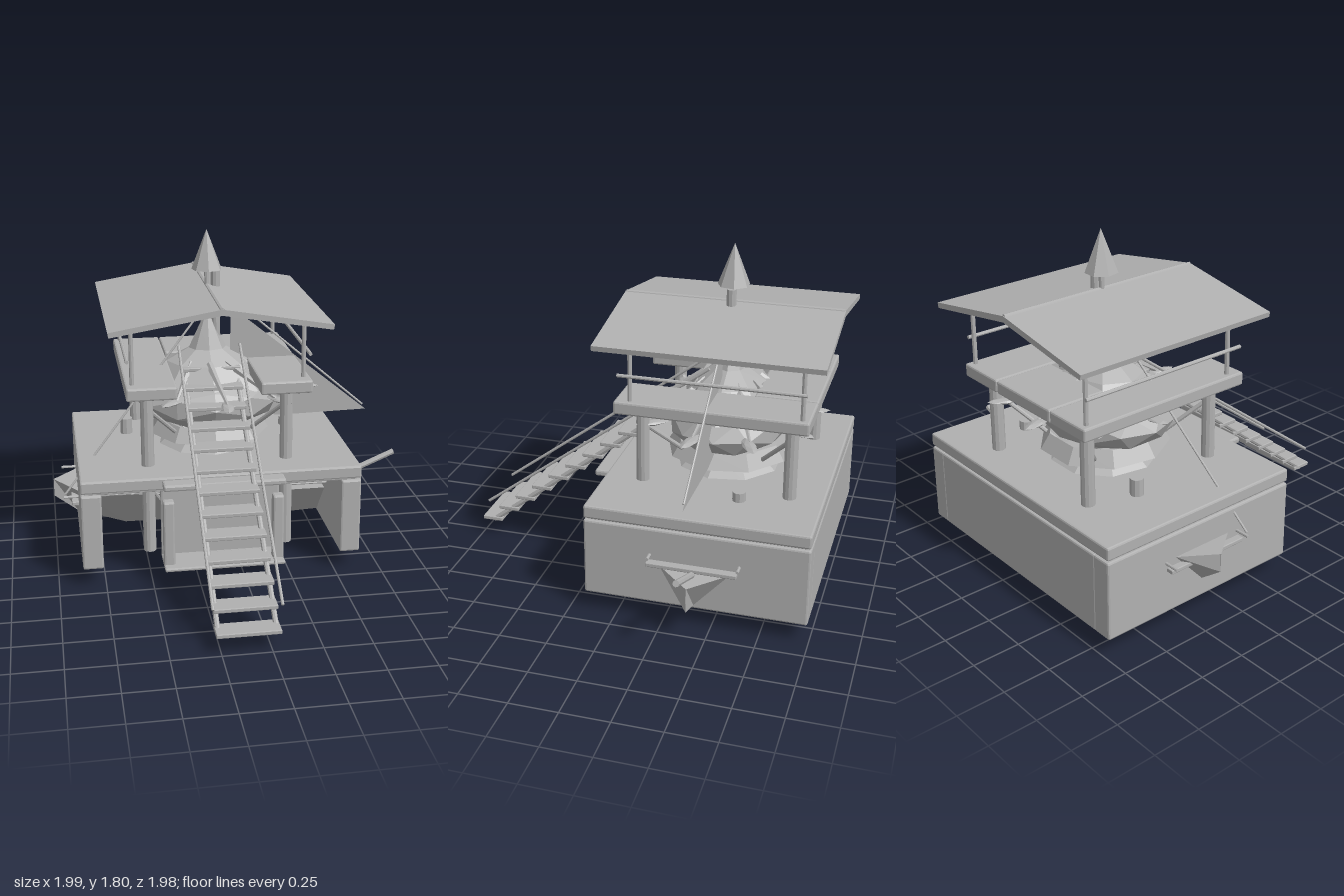
import * as THREE from 'three';
import { RoundedBoxGeometry } from 'three/addons/geometries/RoundedBoxGeometry.js';

const CX = -0.115, CZ = -0.41;

export function createModel() {
  const root = new THREE.Group();
  const stone = new THREE.MeshStandardMaterial({ color: 0xb0b0b0, flatShading: true, side: THREE.DoubleSide });
  stone.name = 'plain grey';

  const add = (name, geo, x = 0, y = 0, z = 0) => {
    const m = new THREE.Mesh(geo, stone);
    m.name = name;
    m.position.set(x, y, z);
    root.add(m);
    return m;
  };
  // Box given by its limits, with slightly bevelled edges
  const box = (name, x0, x1, y0, y1, z0, z1, r = 0.01) => {
    const w = x1 - x0, h = y1 - y0, d = z1 - z0;
    return add(name, new RoundedBoxGeometry(w, h, d, 1, Math.min(r, w / 3, h / 3, d / 3)),
      (x0 + x1) / 2, (y0 + y1) / 2, (z0 + z1) / 2);
  };
  // Round bar between two points
  const bar = (name, a, b, r0, r1 = r0, sides = 8) => {
    const p = new THREE.Vector3(...a), q = new THREE.Vector3(...b), d = q.clone().sub(p);
    const m = add(name, new THREE.CylinderGeometry(r1, r0, d.length(), sides));
    m.position.copy(p).add(q).multiplyScalar(0.5);
    m.quaternion.setFromUnitVectors(new THREE.Vector3(0, 1, 0), d.normalize());
    return m;
  };
  // Faceted ring body around the trunk axis
  const turned = (name, pts, sides, sx = 1, sz = 1) => {
    const m = add(name, new THREE.LatheGeometry(pts.map(p => new THREE.Vector2(...p)), sides), CX, 0, CZ);
    m.scale.set(sx, 1, sz);
    return m;
  };

  // Lower house: three thick walls under a slab, open in front and below
  box('sideWallRight', -0.87, -0.76, 0.1, 0.52, -0.99, 0.17);
  box('sideWallLeft', 0.53, 0.64, 0.1, 0.52, -0.99, 0.17);
  box('backWall', -0.77, 0.54, 0.1, 0.52, -0.99, -0.88);
  box('wallCore', -0.85, 0.62, 0.515, 0.535, -0.97, 0.15);
  box('lowerRoofSlab', -0.87, 0.64, 0.53, 0.6, -0.99, 0.17);

  // Entrance
  box('entranceWall', -0.44, 0.21, 0.1, 0.53, 0.03, 0.06);
  box('doorstep', -0.44, 0.21, 0.09, 0.11, 0.03, 0.25);
  box('entranceLintel', -0.44, 0.21, 0.55, 0.585, 0.16, 0.25);
  for (const x of [-0.44, 0.15]) box('entrancePillar', x, x + 0.06, 0.1, 0.47, 0.14, 0.2);
  box('wallCabinet', -0.64, -0.54, 0.33, 0.47, -0.88, -0.78);

  // Corner posts, struts, upper posts and rails of the platform
  for (const [x, s] of [[-0.495, 1], [0.262, -1]]) {
    for (const [z, t] of [[-0.035, -1], [-0.81, 1]]) {
      bar('platformPost', [x, 0.1, z], [x, 1.0, z], 0.035, 0.035, 12);
      bar('platformStrut', [x, 0.92, z], [x + s * 0.27, 0.6, z + t * 0.27], 0.012);
      bar('lowerStrut', [x, 0.48, z], [x + s * 0.2, 0.14, z + t * 0.2], 0.012);
    }
  }
  for (const [x, rx] of [[-0.573, -0.6], [0.343, 0.367]]) {
    for (const z of [0.01, -0.87]) bar('roofPost', [x, 1.06, z], [x, 1.39, z], 0.012);
    bar('sideRail', [rx, 1.21, 0.07], [rx, 1.21, -0.89], 0.01);
  }

  // Platform with an opening for the stairs
  box('deckRight', -0.61, -0.342, 1.0, 1.07, -0.91, 0.09);
  box('deckLeft', 0.102, 0.38, 1.0, 1.07, -0.91, 0.09);
  box('deckBack', -0.338, 0.098, 1.0, 1.07, -0.91, -0.58);

  // Gabled roof
  const gable = new THREE.Shape([[-0.695, 1.37], [CX, 1.463], [0.465, 1.365], [0.47, 1.393],
    [CX, 1.495], [-0.7, 1.397]].map(p => new THREE.Vector2(...p)));
  add('gableRoof', new THREE.ExtrudeGeometry(gable, { depth: 1.16, bevelEnabled: false }), 0, 0, -0.99);
  bar('roofRidge', [CX, 1.487, -0.985], [CX, 1.487, 0.165], 0.015);

  // Spire and mast
  add('spire', new THREE.ConeGeometry(0.085, 0.22, 7), CX, 1.69, CZ);
  bar('spireStem', [CX, 1.3, CZ], [CX, 1.6, CZ], 0.014);
  bar('mast', [-0.068, 0.2, CZ], [-0.068, 1.57, CZ], 0.026, 0.026, 10);

  // Stairs with stringers and handrails
  for (let i = 0; i < 13; i++) {
    const y = 0.1 + i * 0.0798, z = 0.935 - i * 0.1025;
    box('stairTread', -0.275, 0.045, y - 0.011, y + 0.011, z - 0.058, z + 0.058, 0.004);
  }
  for (const x of [-0.26, 0.028]) bar('stairStringer', [x, 0.09, 0.93], [x, 1.04, -0.29], 0.014);
  for (const x of [-0.285, 0.055]) bar('stairHandrail', [x, 0.22, 0.945], [x, 1.17, -0.33], 0.008);

  // Faceted trunk, crown and pointed top
  turned('trunkBase', [[0.3, 0.59], [0.17, 0.69], [0.34, 0.67], [0.29, 0.75]], 9);
  const crown = add('crown', new THREE.IcosahedronGeometry(1, 1), CX, 0.86, CZ);
  crown.scale.set(0.41, 0.17, 0.33);
  turned('pointedTop', [[0.34, 0.93], [0.22, 1.07], [0.1, 1.14], [0.055, 1.24], [0.001, 1.36]], 8, 1.05, 0.85);

  // Drooping branches with leaf pads
  for (let i = 0; i < 9; i++) {
    const a = i / 9 * Math.PI * 2 + 0.25, c = Math.cos(a), s = Math.sin(a);
    const x = -0.03, r = 0.42;
    bar('branch', [CX + 0.15 * c, 1.08, CZ + 0.15 * s], [x + r * c, 0.92, CZ - 0.02 + r * s], 0.022, 0.008, 5);
    const leaf = add('leafPad', new THREE.OctahedronGeometry(1, 1), x + 0.45 * c, 0.915, CZ - 0.02 + 0.43 * s);
    leaf.scale.set(0.095, 0.014, 0.035);
    leaf.rotation.y = -a;
  }

  // Boat hull from V-shaped sections: x, half width, keel y, rim y
  const stations = [[-1, 0.002, 0.3, 0.4], [-0.87, 0.17, 0.2, 0.39], [-0.6, 0.18, 0.11, 0.35],
    [0.3, 0.18, 0.105, 0.32], [0.64, 0.18, 0.12, 0.32], [0.795, 0.002, 0.17, 0.305]];
  const pos = [], idx = [];
  stations.forEach(([x, w, k, t], i) => {
    pos.push(x, t, CZ - w, x, k, CZ, x, t, CZ + w);
    if (i) for (let j = 0; j < 3; j++) {
      const a = (i - 1) * 3 + j, b = (i - 1) * 3 + (j + 1) % 3;
      idx.push(a, b, a + 3, b, b + 3, a + 3);
    }
  });
  const hull = new THREE.BufferGeometry();
  hull.setAttribute('position', new THREE.Float32BufferAttribute(pos, 3));
  hull.setIndex(idx);
  hull.computeVertexNormals();
  add('boatHull', hull);
  bar('bowsprit', [0.55, 0.265, CZ], [0.985, 0.448, CZ], 0.017);
  for (const x of [0.665, -0.885]) box('boatThwart', x - 0.022, x + 0.022, 0.33, 0.352, -0.635, -0.17, 0.004);
  for (const s of [-1, 1]) bar('boatRail', [-0.95, 0.38, CZ + s * 0.23], [0.69, 0.375, CZ + s * 0.23], 0.008);

  // Sail and rigging
  const sail = new THREE.Shape([[0.015, 1.37], [0, 0.77], [0.29, 0.72], [0.8, 0.73]].map(p => new THREE.Vector2(...p)));
  add('sail', new THREE.ShapeGeometry(sail), 0, 0, CZ + 0.02);
  bar('foreStay', [-0.07, 1.49, CZ], [0.78, 0.76, CZ + 0.02], 0.006);
  bar('backStay', [-0.07, 1.45, CZ], [-0.94, 0.4, -0.18], 0.006);

  // Chimney stubs on the slab
  bar('stubRight', [-0.57, 0.59, -0.57], [-0.57, 0.69, -0.57], 0.035, 0.035, 10);
  bar('stubLeft', [0.36, 0.59, -0.57], [0.36, 0.65, -0.57], 0.035, 0.035, 10);

  // Faceted root ball with a small footed lamp below
  const ball = add('rootBall', new THREE.IcosahedronGeometry(1, 1), CX, 0.21, CZ);
  ball.scale.set(0.24, 0.125, 0.21);
  bar('lampBody', [CX, 0.1, CZ], [CX, 0.02, CZ], 0.035, 0.018, 7);
  for (const s of [-1, 1]) for (const z of [CZ - 0.1, CZ - 0.2]) {
    bar('lampLeg', [CX + s * 0.02, 0.09, CZ - 0.08], [CX + s * 0.065, 0.01, z], 0.006);
    box('lampFoot', CX + s * 0.065 - 0.02, CX + s * 0.065 + 0.02, 0, 0.01, z - 0.025, z + 0.025, 0.002);
  }
  return root;
}
